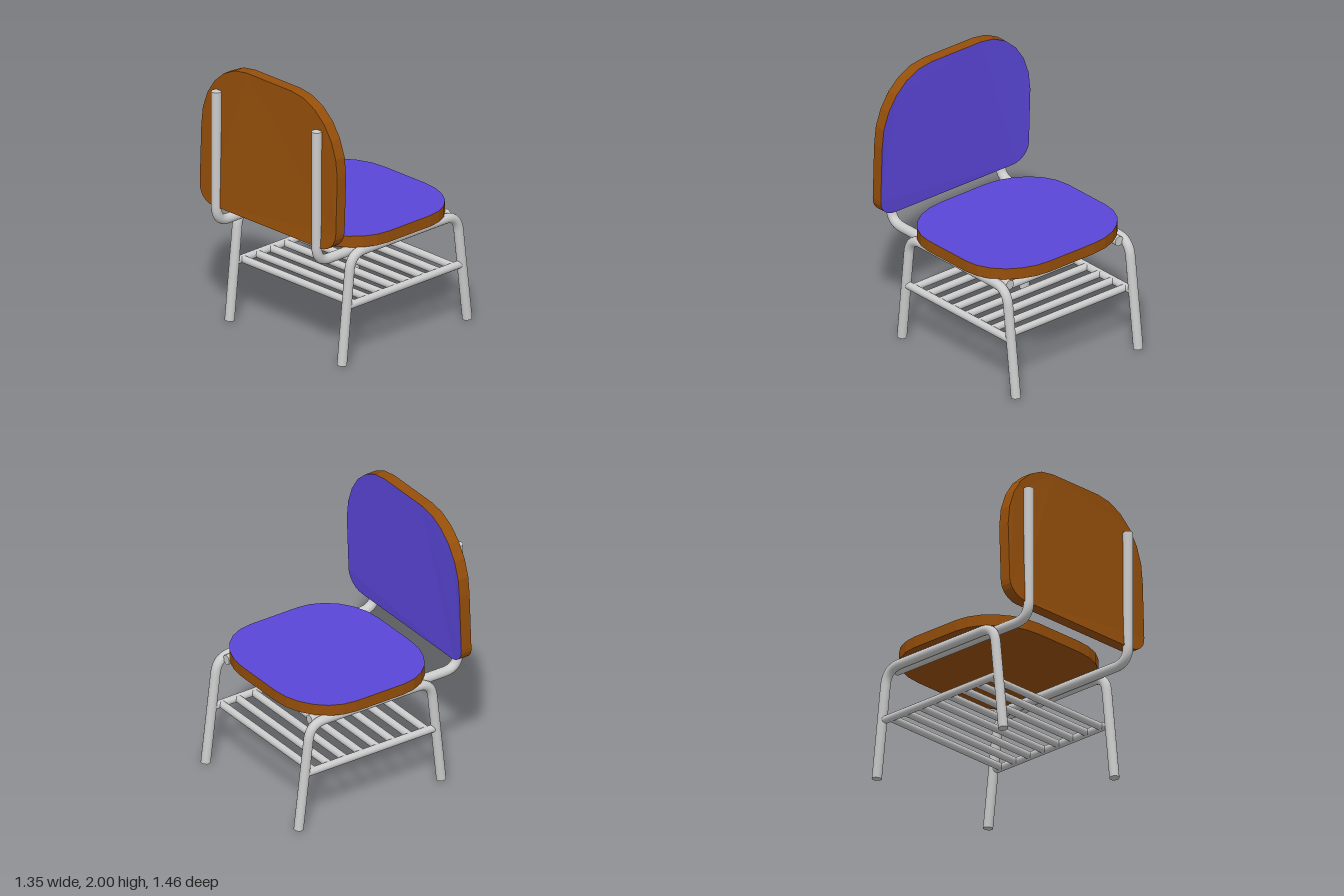
import * as THREE from 'three';

const metal = new THREE.MeshStandardMaterial({ color: 0xcccccc });
const wood = new THREE.MeshStandardMaterial({ color: 0x964f0a, flatShading: true });
const cushion = new THREE.MeshStandardMaterial({ color: 0x5a46d8, flatShading: true });

const v = (x, y, z) => new THREE.Vector3(x, y, z);

function addMesh(parent, name, geometry, material) {
  const mesh = new THREE.Mesh(geometry, material);
  mesh.name = name;
  parent.add(mesh);
  return mesh;
}

// Closed-ended round tube through points, with rounded corners
function addTube(parent, name, points, radius, bend = 0.12) {
  const path = new THREE.CurvePath();
  let from = points[0];
  for (let i = 1; i < points.length - 1; i++) {
    const corner = points[i];
    const toward = (p) => corner.clone().add(p.clone().sub(corner).setLength(bend));
    const a = toward(points[i - 1]);
    const b = toward(points[i + 1]);
    path.add(new THREE.LineCurve3(from, a));
    path.add(new THREE.QuadraticBezierCurve3(a, corner, b));
    from = b;
  }
  path.add(new THREE.LineCurve3(from, points[points.length - 1]));

  const group = new THREE.Group();
  group.name = name;
  parent.add(group);
  const segments = points.length > 2 ? 90 : 1;
  addMesh(group, name + 'Tube', new THREE.TubeGeometry(path, segments, radius, 16), metal);
  for (const t of [0, 1]) {
    const cap = addMesh(group, name + 'Cap', new THREE.CircleGeometry(radius, 16), metal);
    const out = path.getTangent(t).multiplyScalar(t ? 1 : -1);
    cap.position.copy(path.getPoint(t));
    cap.quaternion.setFromUnitVectors(v(0, 0, 1), out);
  }
}

// Rectangle with elliptical corners: [rx, ry] for the top pair and bottom pair
function roundedPanel(halfWidth, bottom, top, topCorner, bottomCorner) {
  const points = [];
  const corners = [
    [1, 1, topCorner, 0], [-1, 1, topCorner, 1],
    [-1, -1, bottomCorner, 2], [1, -1, bottomCorner, 3],
  ];
  for (const [sx, sy, [rx, ry], quarter] of corners) {
    const cx = sx * (halfWidth - rx);
    const cy = sy > 0 ? top - ry : bottom + ry;
    for (let i = 0; i <= 6; i++) {
      const a = (quarter + i / 6) * Math.PI / 2;
      points.push(new THREE.Vector2(cx + rx * Math.cos(a), cy + ry * Math.sin(a)));
    }
  }
  return new THREE.Shape(points);
}

// Wooden slab with a coloured facing on its +z side
function addPanel(parent, name, shape, depth, shapeRule = (g) => g) {
  const group = new THREE.Group();
  group.name = name;
  parent.add(group);
  const slab = new THREE.ExtrudeGeometry(shape, { depth, bevelEnabled: false });
  addMesh(group, name + 'Board', shapeRule(slab), wood);
  const facing = new THREE.ShapeGeometry(shape).translate(0, 0, depth + 0.002);
  addMesh(group, name + 'Facing', shapeRule(facing), cushion);
  return group;
}

export function createModel() {
  const chair = new THREE.Group();
  chair.name = 'chair';

  // Seat, lying flat with its facing upward
  const seat = addPanel(chair, 'seat',
    roundedPanel(0.637, -0.515, 0.637, [0.437, 0.377], [0.437, 0.377]), 0.083);
  seat.rotation.x = -Math.PI / 2;
  seat.position.y = 0.84;

  // Backrest, facing -z, its lower part sweeping gently rearward
  const sweep = (geometry) => {
    const p = geometry.attributes.position;
    for (let i = 0; i < p.count; i++) {
      const t = Math.max(0, (1.4 - p.getY(i)) / 0.475);
      p.setZ(i, p.getZ(i) - 0.028 * t * t);
    }
    geometry.computeVertexNormals();
    return geometry;
  };
  const backrest = addPanel(chair, 'backrest',
    roundedPanel(0.675, 0.925, 2, [0.45, 0.52], [0.14, 0.13]), 0.085, sweep);
  backrest.rotation.y = Math.PI;
  backrest.position.z = 0.668;

  for (const side of [-1, 1]) {
    const label = side > 0 ? 'left' : 'right';
    const x = side * 0.558;
    // Front and rear legs bent from a single tube
    addTube(chair, label + 'Legs', [
      v(x, 0.005, 0.51), v(x, 0.81, 0.425), v(x, 0.81, -0.595), v(x, 0.005, -0.692),
    ], 0.035);
    // Rod under the seat that turns up to carry the backrest
    addTube(chair, label + 'BackSupport', [
      v(side * 0.498, 0.807, -0.56), v(side * 0.498, 0.807, 0.695), v(side * 0.498, 1.79, 0.695),
    ], 0.036);
    // Side rail of the rack
    addTube(chair, label + 'RackRail', [v(x, 0.43, 0.46), v(x, 0.43, -0.65)], 0.028);
  }

  // Rack slats
  const slats = 8;
  for (let i = 0; i < slats; i++) {
    const z = THREE.MathUtils.lerp(-0.563, 0.39, i / (slats - 1));
    addTube(chair, 'rackSlat', [v(-0.555, 0.43, z), v(0.555, 0.43, z)], 0.027);
  }
  return chair;
}
